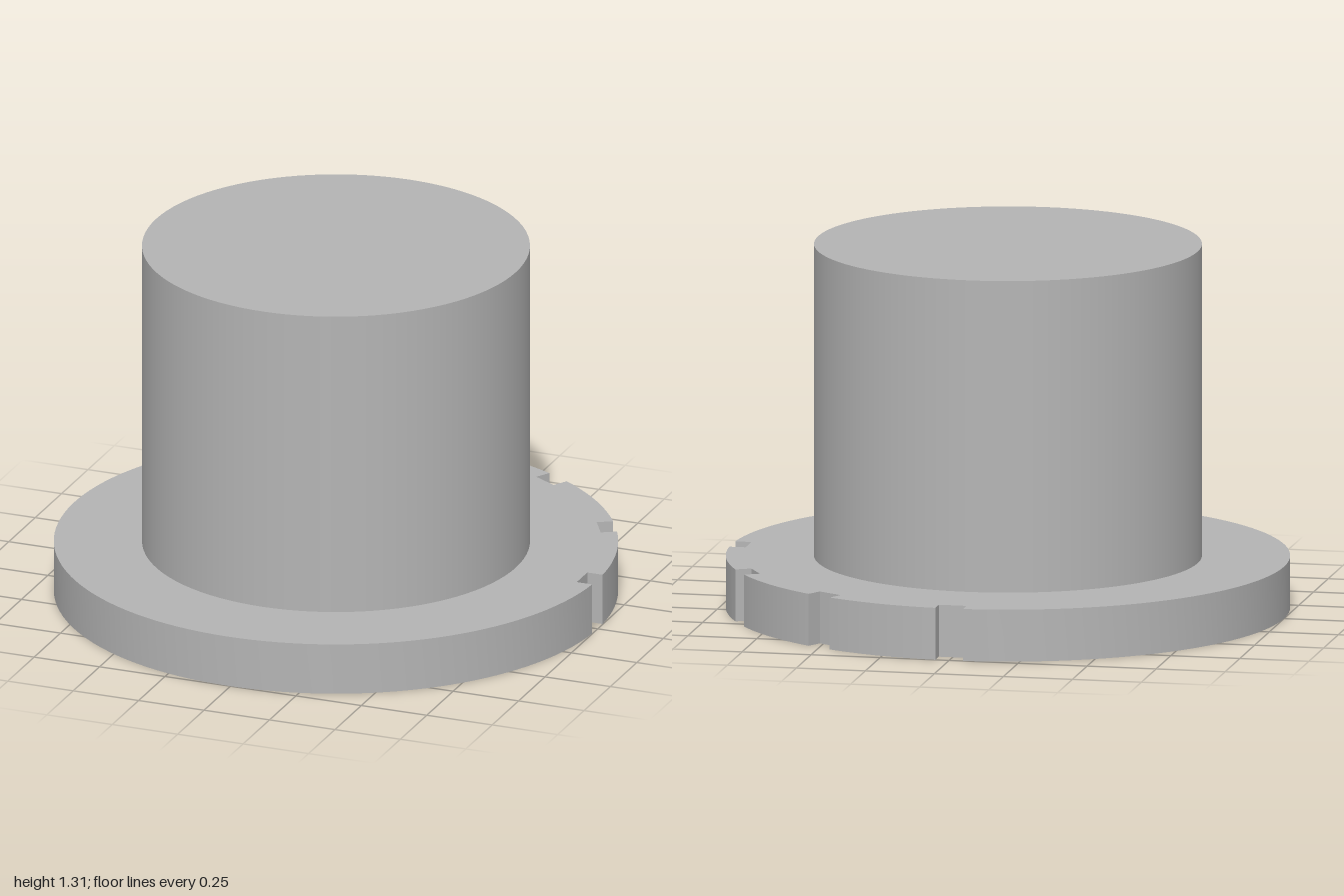
import * as THREE from 'three';
import { toCreasedNormals } from 'three/addons/utils/BufferGeometryUtils.js';

const FLANGE_RADIUS = 1;
const FLANGE_HEIGHT = 0.1875;
const BOSS_RADIUS = 0.6875;
const TOTAL_HEIGHT = 1.3125;
const NOTCH_HALF_WIDTH = 0.05;
const NOTCH_FLOOR = 0.94;
const NOTCH_ANGLES = [0, 30, 60, 90].map(THREE.MathUtils.degToRad);

// Disc outline with square notches cut into the rim
function flangeOutline() {
  const shape = new THREE.Shape();
  const half = Math.asin(NOTCH_HALF_WIDTH / FLANGE_RADIUS);
  NOTCH_ANGLES.forEach((angle, i) => {
    const c = Math.cos(angle), s = Math.sin(angle);
    const at = (r, t) => [r * c - t * s, r * s + t * c];
    const rim = FLANGE_RADIUS * Math.cos(half);
    if (i === 0) shape.moveTo(...at(rim, -NOTCH_HALF_WIDTH));
    shape.lineTo(...at(NOTCH_FLOOR, -NOTCH_HALF_WIDTH));
    shape.lineTo(...at(NOTCH_FLOOR, NOTCH_HALF_WIDTH));
    shape.lineTo(...at(rim, NOTCH_HALF_WIDTH));
    // Rim arc to the next notch
    const next = NOTCH_ANGLES[i + 1] ?? NOTCH_ANGLES[0] + Math.PI * 2;
    shape.absarc(0, 0, FLANGE_RADIUS, angle + half, next - half, false);
  });
  return shape;
}

export function createModel() {
  const model = new THREE.Group();
  model.name = 'notchedFlangePlug';
  const grey = new THREE.MeshStandardMaterial({ color: 0xb4b4b4 });
  grey.name = 'plain grey';

  // Flange, laid flat with its thickness along y
  const flangeGeometry = new THREE.ExtrudeGeometry(flangeOutline(), {
    depth: FLANGE_HEIGHT, bevelEnabled: false, curveSegments: 48,
  });
  flangeGeometry.rotateX(-Math.PI / 2);
  const flange = new THREE.Mesh(toCreasedNormals(flangeGeometry, 0.5), grey);
  flange.name = 'notchedFlange';

  // Solid cylindrical boss standing on the flange
  const bossHeight = TOTAL_HEIGHT - FLANGE_HEIGHT;
  const boss = new THREE.Mesh(
    new THREE.CylinderGeometry(BOSS_RADIUS, BOSS_RADIUS, bossHeight, 96), grey);
  boss.name = 'boss';
  boss.position.y = FLANGE_HEIGHT + bossHeight / 2;

  model.add(flange, boss);
  return model;
}
